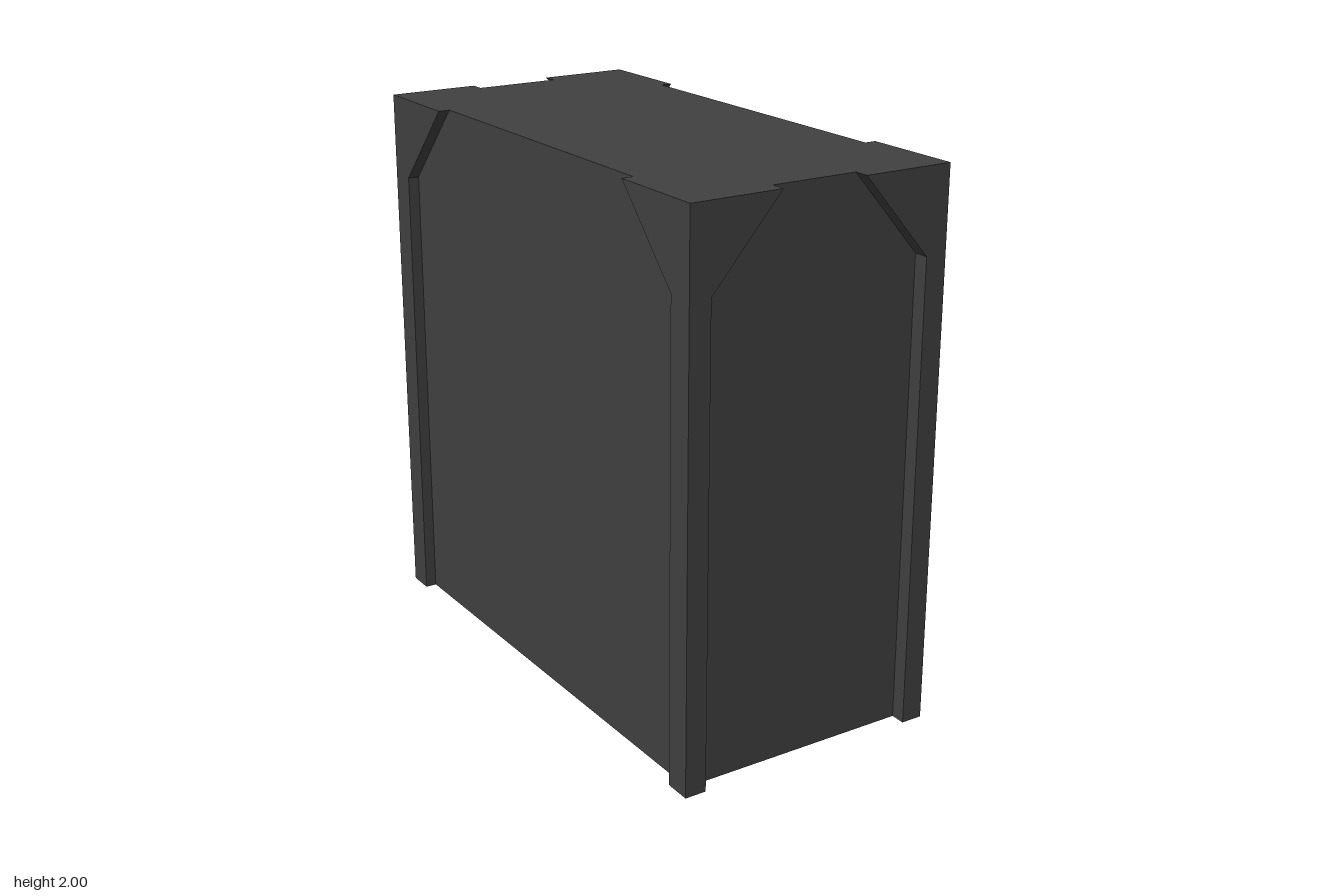
import * as THREE from 'three';

const HALF_X = 0.5, HALF_Z = 1, HEIGHT = 2;
const CORE_X = 0.458, CORE_Z = 0.945;

// Upright plate with a bracket flaring out at the top; u runs across the plate
function bracketGeometry(sign, outer, inner, flare, depth) {
  const points = [[outer, 0], [outer, HEIGHT], [flare, HEIGHT], [inner, 1.7], [inner, 0]];
  const shape = new THREE.Shape(points.map(([u, y]) => new THREE.Vector2(sign * u, y)));
  return new THREE.ExtrudeGeometry(shape, { depth, bevelEnabled: false });
}

export function createModel() {
  const model = new THREE.Group();
  model.name = 'bracedBlock';
  const charcoal = new THREE.MeshStandardMaterial({ color: 0x404040 });
  charcoal.name = 'charcoal';

  const add = (parent, name, geometry) => {
    const mesh = new THREE.Mesh(geometry, charcoal);
    mesh.name = name;
    parent.add(mesh);
    return mesh;
  };

  // Solid body between the corner posts
  add(model, 'body', new THREE.BoxGeometry(CORE_X * 2, HEIGHT, CORE_Z * 2)).position.y = HEIGHT / 2;

  // Four L-shaped corner posts, each with an end plate and a side plate
  for (const sx of [-1, 1]) {
    for (const sz of [-1, 1]) {
      const post = new THREE.Group();
      post.name = (sz > 0 ? 'front' : 'back') + (sx > 0 ? 'Left' : 'Right') + 'Post';

      const endDepth = HALF_Z - CORE_Z;
      const end = bracketGeometry(sx, HALF_X, 0.42, 0.16, endDepth);
      end.translate(0, 0, sz > 0 ? CORE_Z : -HALF_Z);
      add(post, 'endPlate', end);

      const sideDepth = HALF_X - CORE_X;
      const side = bracketGeometry(-sz, CORE_Z, 0.9, 0.622, sideDepth);
      side.rotateY(Math.PI / 2);
      side.translate(sx > 0 ? CORE_X : -HALF_X, 0, 0);
      add(post, 'sidePlate', side);

      model.add(post);
    }
  }
  return model;
}
